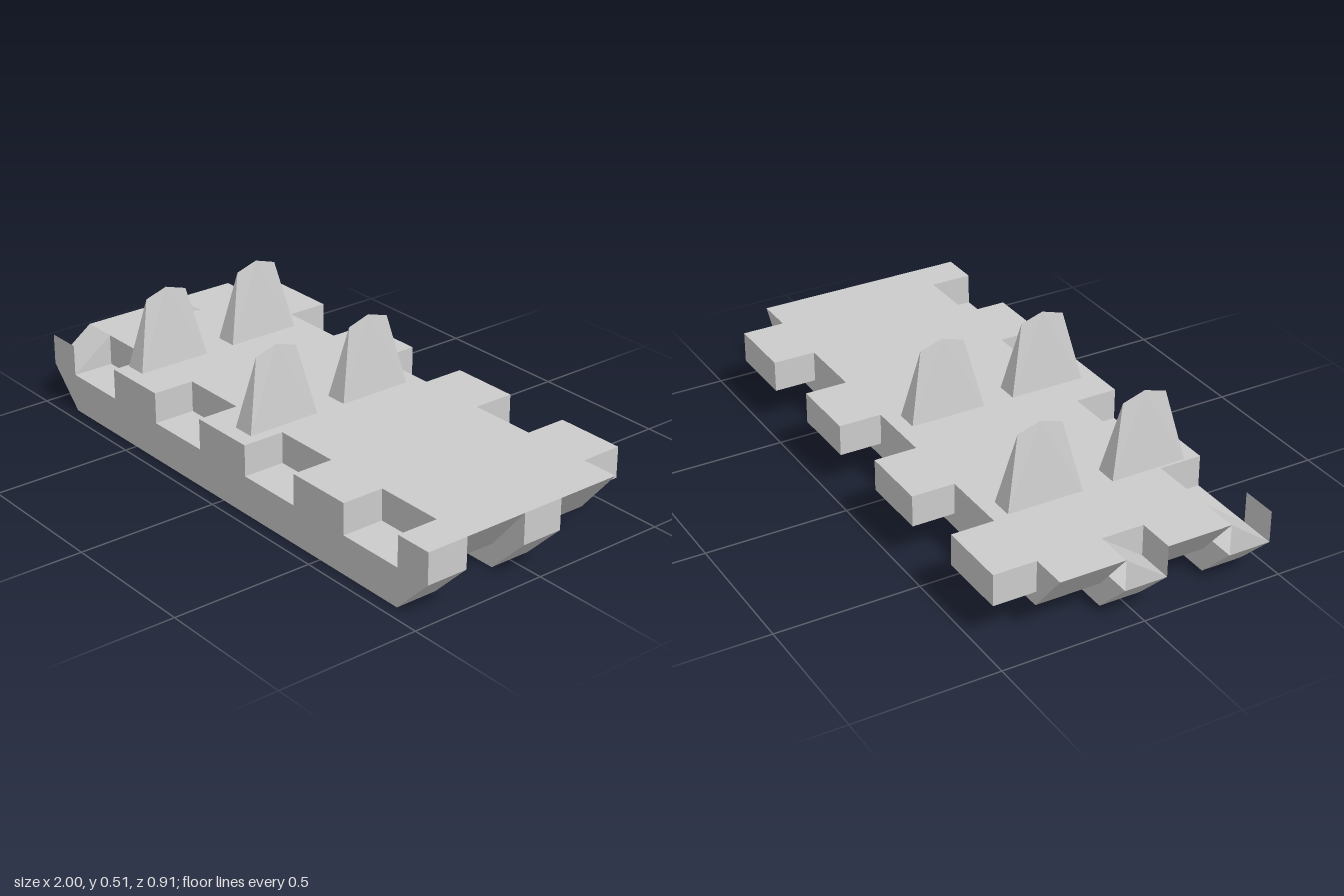
import * as THREE from 'three';

const TOP = 0.245, STEP = 0.135, BELLY = 0.083, IN = 0.865;
const toothX = [-0.745, -0.25, 0.245, 0.74]; // centres of the tabs and matching notches
const toothW = 0.25;

export function createModel() {
  const group = new THREE.Group();
  const mat = new THREE.MeshStandardMaterial({ color: 0xcccccc, flatShading: true, side: THREE.DoubleSide });

  const add = (name, geo) => {
    const mesh = new THREE.Mesh(geo, mat);
    mesh.name = name;
    group.add(mesh);
    return mesh;
  };

  // Side profile (x, y) extruded from z0 to z1
  const band = (name, pts, z0, z1) => {
    const shape = new THREE.Shape(pts.map(p => new THREE.Vector2(...p)));
    const geo = new THREE.ExtrudeGeometry(shape, { depth: z1 - z0, bevelEnabled: false });
    add(name, geo.translate(0, 0, z0));
  };

  const build = (corners, index) => {
    const geo = new THREE.BufferGeometry();
    geo.setAttribute('position', new THREE.Float32BufferAttribute(corners.flat(), 3));
    geo.setIndex(index);
    const flat = geo.toNonIndexed();
    flat.computeVertexNormals();
    return flat;
  };

  // Deck sections with undercut ends
  const deck = [[-1, TOP], [-IN, BELLY], [IN, BELLY], [1, TOP]];
  band('rearDeck', deck, -0.305, -0.075);
  band('frontDeck', deck, 0.075, 0.305);

  // Runners with chamfered ends; the right end is stepped down
  const keel = [[-1, STEP], [-IN, 0], [IN, 0], [1, STEP], [1, TOP]];
  band('middleRunner', [...keel, [-IN, TOP], [-IN, STEP]], -0.075, 0.075);

  // The front runner is notched along its top
  const notched = [...keel];
  [...toothX].reverse().forEach((x, i) => {
    const a = x + toothW / 2, b = x - toothW / 2;
    notched.push([a, TOP], [a, STEP], [b, STEP]);
    if (i < 3) notched.push([b, TOP]);
  });
  band('frontRunner', notched, 0.305, 0.455);

  // Ramped pocket with a thin lip at the stepped end of each runner
  for (const z of [0, 0.38]) {
    const a = z - 0.075, b = z + 0.075, x = -0.87;
    add('pocketRamp', build(
      [[-1, TOP, a], [x, TOP, a], [x, STEP, b], [-1, STEP, b], [-1, STEP, a], [x, STEP, a]],
      [0, 3, 1, 1, 3, 2, 0, 4, 3, 1, 2, 5]));
    add('pocketLip', new THREE.PlaneGeometry(1 + x, TOP - STEP)
      .translate((x - 1) / 2, (TOP + STEP) / 2, b));
  }

  // Tabs along the back edge
  for (const x of toothX) {
    add('backTab', new THREE.BoxGeometry(toothW, TOP - STEP, 0.15)
      .translate(x, (TOP + STEP) / 2, -0.38));
  }

  // Guide teeth: rectangular base narrowing to a peaked ridge
  const w = 0.04, d = 0.135, r = 0.08;
  const tooth = build(
    [[-w, 0, d], [w, 0, d], [w, 0, -d], [-w, 0, -d],
      [0, 0.245, r], [0, 0.27, 0], [0, 0.245, -r]],
    [0, 1, 4, 2, 3, 6, 1, 2, 5, 1, 5, 4, 2, 6, 5, 3, 0, 5, 3, 5, 6, 0, 4, 5]);
  for (const x of [-0.57, 0.04]) {
    for (const z of [0.265, -0.115]) add('guideTooth', tooth).position.set(x, TOP, z);
  }
  return group;
}
